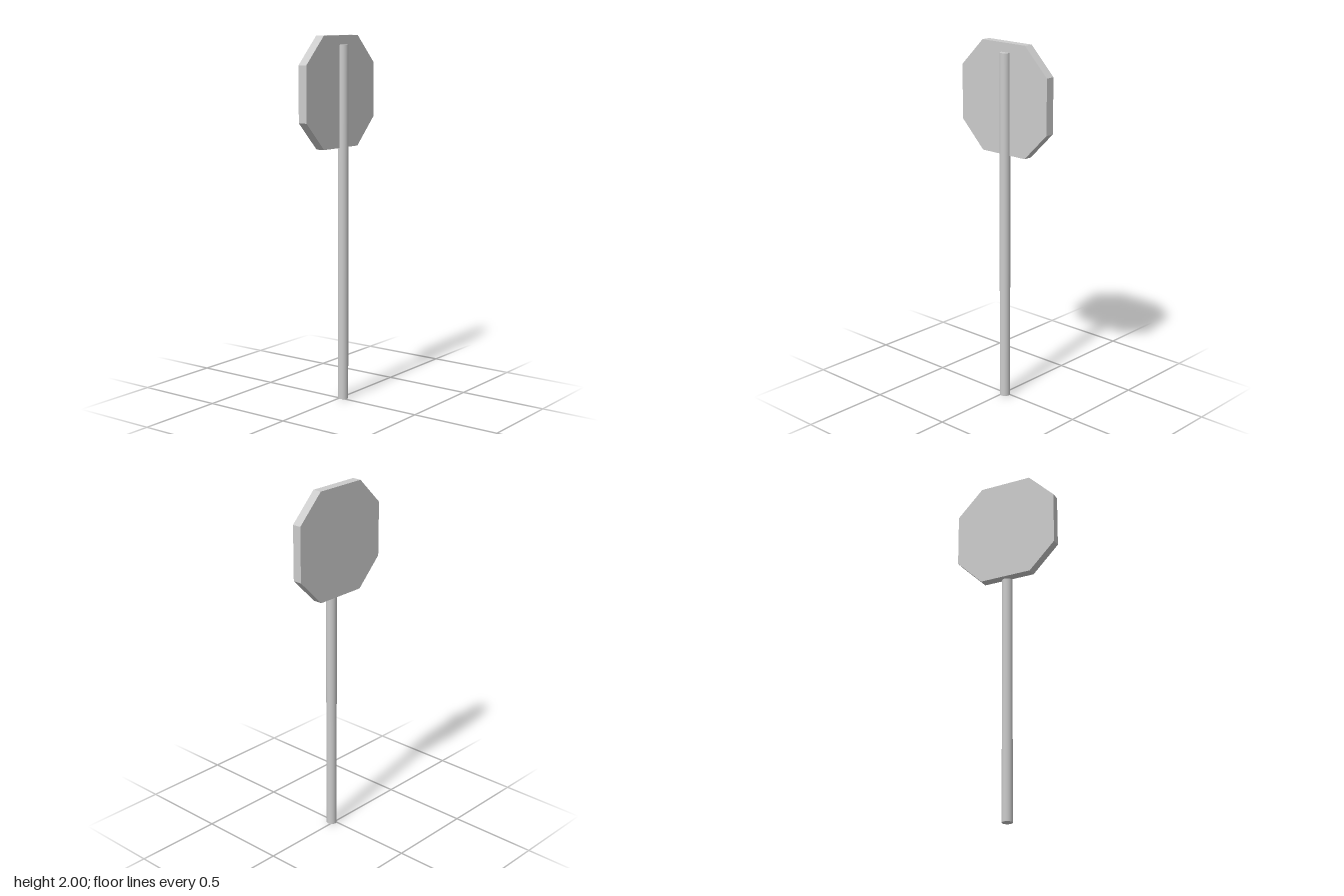
import * as THREE from 'three';

export function createModel() {
  const group = new THREE.Group();
  const material = new THREE.MeshStandardMaterial({ color: 0xcccccc });

  // Eight-sided plate: a square with its corners cut at half the half-width
  const half = 0.3, cut = 0.15, depth = 0.051;
  const outline = new THREE.Shape([
    [cut, -half], [half, -cut], [half, cut], [cut, half],
    [-cut, half], [-half, cut], [-half, -cut], [-cut, -half],
  ].map(([x, y]) => new THREE.Vector2(x, y)));
  const plate = new THREE.Mesh(
    new THREE.ExtrudeGeometry(outline, { depth, bevelEnabled: false }), material);
  plate.name = 'signPlate';
  plate.position.set(0, 1.7, -0.042);
  group.add(plate);

  // Round post, half sunk into the plate and slightly off centre
  const radius = 0.029, height = 1.95;
  const post = new THREE.Mesh(
    new THREE.CylinderGeometry(radius, radius, height, 32), material);
  post.name = 'post';
  post.position.set(0.014, height / 2, 0.0125);
  group.add(post);

  return group;
}
